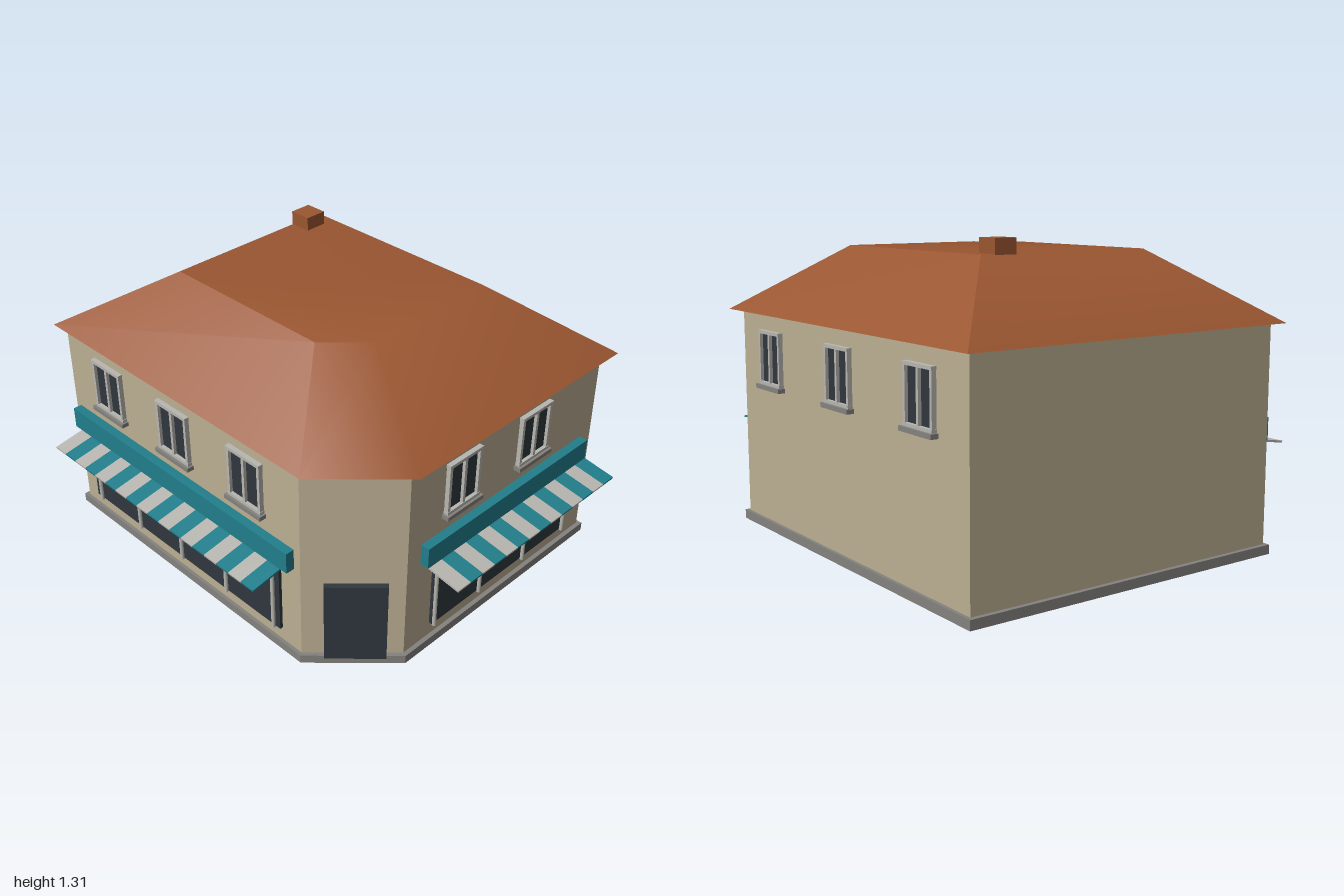
import * as THREE from 'three';
import { toCreasedNormals } from 'three/addons/utils/BufferGeometryUtils.js';

const mat = (name, color) => {
  const m = new THREE.MeshStandardMaterial({ color });
  m.name = name;
  return m;
};

export function createModel() {
  const wall = mat('plaster', 0xbbae92);
  const tile = mat('terracotta', 0x9a5631);
  const teal = mat('teal', 0x217e8b);
  const light = mat('lightGrey', 0xb8b6b0);
  const stone = mat('stone', 0x84827f);
  const glass = mat('darkGlass', 0x2f373e);
  const iron = mat('iron', 0x15181a);

  const model = new THREE.Group();
  model.name = 'cornerShop';

  const add = (parent, name, geometry, material, x = 0, y = 0, z = 0) => {
    const m = new THREE.Mesh(geometry, material);
    m.name = name;
    m.position.set(x, y, z);
    parent.add(m);
    return m;
  };
  // Box given by its limits
  const box = (parent, name, material, x0, x1, y0, y1, z0, z1) =>
    add(parent, name, new THREE.BoxGeometry(x1 - x0, y1 - y0, z1 - z0), material,
      (x0 + x1) / 2, (y0 + y1) / 2, (z0 + z1) / 2);

  // Rectangle with the front left corner (+x, +z) cut off, as [x, z] points
  const outline = (x0, x1, z0, z1, cx, cz) => [[x0, z1], [cx, z1], [x1, cz], [x1, z0], [x0, z0]];
  const prism = (name, material, pts, y0, y1) => {
    const shape = new THREE.Shape(pts.map(([x, z]) => new THREE.Vector2(x, -z)));
    const g = new THREE.ExtrudeGeometry(shape, { depth: y1 - y0, bevelEnabled: false });
    g.rotateX(-Math.PI / 2);
    return add(model, name, g, material, 0, y0, 0);
  };

  prism('plinth', stone, outline(-0.965, 0.83, -0.82, 0.685, 0.53, 0.385), 0, 0.04);
  prism('walls', wall, outline(-0.945, 0.81, -0.805, 0.67, 0.52, 0.375), 0.04, 0.96);

  // Hipped roof with a flat top: two outlines joined by slopes
  const eave = outline(-1, 0.865, -0.85, 0.7, 0.555, 0.39);
  const top = outline(-0.555, 0.415, -0.48, 0.33, 0.256, 0.168);
  const n = eave.length;
  const verts = [...eave.map(([x, z]) => [x, 0.96, z]), ...top.map(([x, z]) => [x, 1.25, z])];
  const index = [];
  for (let i = 0; i < n; i++) {
    const j = (i + 1) % n;
    index.push(i, j, n + j, i, n + j, n + i);
    if (i > 0 && i < n - 1) index.push(n, n + i, n + i + 1, 0, i + 1, i);
  }
  const roof = new THREE.BufferGeometry();
  roof.setAttribute('position', new THREE.Float32BufferAttribute(verts.flat(), 3));
  roof.setIndex(index);
  add(model, 'roof', toCreasedNormals(roof, 0.64), tile);
  box(model, 'chimney', tile, -0.56, -0.46, 1.2, 1.31, -0.42, -0.32);

  // Each facade group has x along the wall and z pointing outwards
  const facade = (name, x, z, turn) => {
    const g = new THREE.Group();
    g.name = name;
    g.position.set(x, 0, z);
    g.rotation.y = turn;
    model.add(g);
    return g;
  };
  const front = facade('frontFacade', 0, 0.67, 0);
  const side = facade('leftFacade', 0.81, 0, Math.PI / 2);
  const back = facade('backFacade', 0, -0.805, Math.PI);
  const corner = facade('cornerFacade', 0.67, 0.525, Math.PI / 4);

  // Upper window: two panes in a frame over a sill
  const window = (parent, x) => {
    const g = new THREE.Group();
    g.name = 'window';
    g.position.x = x;
    parent.add(g);
    box(g, 'panes', glass, -0.088, 0.088, 0.65, 0.88, -0.005, 0.006);
    for (const cx of [-0.088, 0, 0.088]) {
      box(g, 'frameUpright', light, cx - 0.007, cx + 0.007, 0.65, 0.88, 0, 0.02);
    }
    for (const y of [0.65, 0.873]) {
      box(g, 'frameRail', light, -0.097, 0.097, y, y + 0.014, 0, 0.022);
    }
    box(g, 'sill', stone, -0.106, 0.106, 0.632, 0.651, 0, 0.033);
  };
  [-0.655, -0.215, 0.225].forEach((x) => window(front, x));
  [-0.08, 0.365].forEach((x) => window(side, x));
  [-0.53, 0.06, 0.65].forEach((x) => window(back, x));

  // Shop front: display glass with round posts, sign board and striped awning
  const shopFront = (parent, o) => {
    box(parent, 'displayGlass', glass, o.glass[0], o.glass[1], 0.105, 0.475, -0.005, 0.014);
    for (const x of o.posts) {
      add(parent, 'post', new THREE.CylinderGeometry(0.009, 0.009, 0.36, 12), light, x, 0.28, 0.019);
    }
    box(parent, 'signBoard', teal, o.sign[0], o.sign[1], 0.468, 0.565, 0, 0.04);

    const awning = new THREE.Group();
    awning.name = 'awning';
    awning.position.set(0, 0.465, 0.02);
    const run = o.depth - 0.02;
    awning.rotation.x = Math.atan2(0.026, run);
    parent.add(awning);
    const w = (o.awning[1] - o.awning[0]) / o.stripes;
    for (let i = 0; i < o.stripes; i++) {
      const x = o.awning[0] + i * w;
      box(awning, 'awningStripe', i % 2 ? teal : light, x, x + w, -0.006, 0.003, 0, run);
    }
  };
  shopFront(front, {
    glass: [-0.845, 0.41], posts: [-0.805, -0.51, -0.215, 0.08, 0.375],
    sign: [-0.915, 0.485], awning: [-0.875, 0.445], stripes: 18, depth: 0.18,
  });
  shopFront(side, {
    glass: [-0.225, 0.655], posts: [-0.215, 0.07, 0.365, 0.65],
    sign: [-0.3, 0.73], awning: [-0.29, 0.735], stripes: 14, depth: 0.19,
  });

  // Slanted struts under the front awning
  for (const x of [-0.775, 0.37]) {
    const strut = new THREE.LineCurve3(new THREE.Vector3(x, 0.375, 0.01), new THREE.Vector3(x, 0.438, 0.155));
    add(front, 'awningStrut', new THREE.TubeGeometry(strut, 1, 0.005, 8), iron);
  }

  // Door in the cut corner
  box(corner, 'door', glass, -0.118, 0.135, 0.03, 0.415, -0.01, 0.02);

  return model;
}
